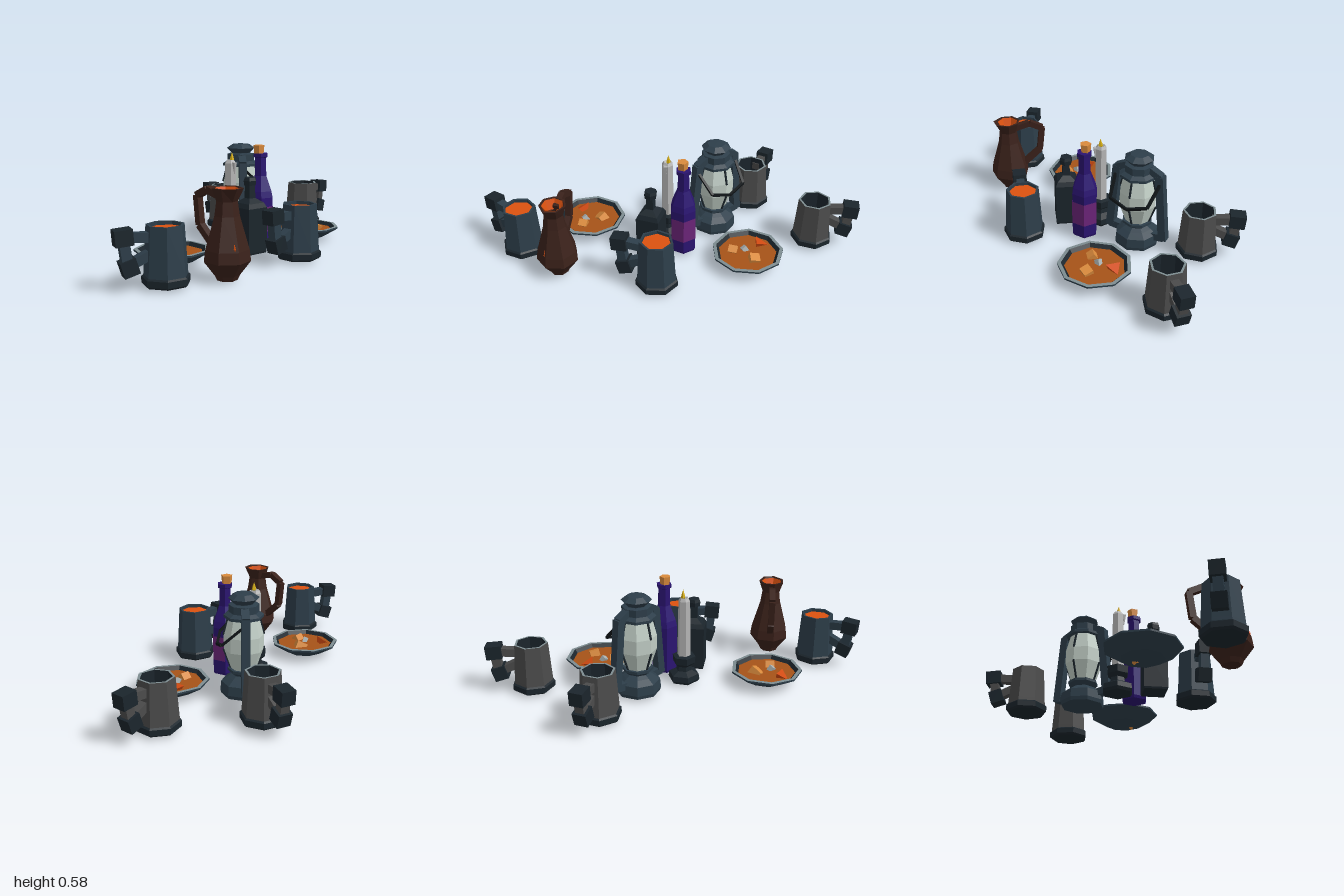
import * as THREE from 'three';

const mat = (color, side = THREE.FrontSide) =>
  new THREE.MeshStandardMaterial({ color, flatShading: true, side });
const M = {
  blue: mat(0x2d3e4a), dark: mat(0x1b252c), grey: mat(0x4b4b4b), rim: mat(0x7d8c90),
  ale: mat(0xdc5210), soup: mat(0xa65318), tan: mat(0xd98a3c), red: mat(0xd04a12),
  pale: mat(0xa9b0b0), brown: mat(0x3a211a), glass: mat(0xc0cdc5), wax: mat(0xb4b4b4),
  flame: mat(0xd8b012), purple: mat(0x2a1470), label: mat(0x6b2478), black: mat(0x0f1417),
  lip: mat(0xdc5210, THREE.DoubleSide), labelThin: mat(0x6b2478, THREE.DoubleSide),
};

function add(parent, name, geometry, material, x = 0, y = 0, z = 0) {
  const mesh = new THREE.Mesh(geometry, material);
  mesh.name = name;
  mesh.position.set(x, y, z);
  parent.add(mesh);
  return mesh;
}

function group(parent, name, x, z, turn = 0) {
  const g = new THREE.Group();
  g.name = name;
  g.position.set(x, 0, z);
  g.rotation.y = turn;
  parent.add(g);
  return g;
}

// Faceted turned shape from [radius, height] pairs, listed upward on the outside
const turned = (points, sides, start = 0, sweep = Math.PI * 2) =>
  new THREE.LatheGeometry(points.map(p => new THREE.Vector2(...p)), sides, start, sweep);

const disc = (r, sides) => new THREE.CircleGeometry(r, sides, Math.PI / 2).rotateX(-Math.PI / 2);

// Square bar between two points
function bar(parent, name, a, b, width, material) {
  const p = new THREE.Vector3(...a), q = new THREE.Vector3(...b);
  const m = add(parent, name, new THREE.BoxGeometry(width, p.distanceTo(q), width), material);
  m.position.copy(p).add(q).multiplyScalar(0.5);
  m.quaternion.setFromUnitVectors(new THREE.Vector3(0, 1, 0), q.sub(p).normalize());
  return m;
}

// Angle that turns local +x toward (dx, dz)
const facing = (dx, dz) => Math.atan2(-dz, dx);

function mug(parent, name, x, z, dx, dz, height, bodyMat, full) {
  const g = group(parent, name, x, z, facing(dx, dz));
  const start = Math.PI / 2 + Math.PI / 7, top = height;
  add(g, 'mugBody', turned([[0.108, 0.05], [0.106, 0.08], [0.092, top]], 7, start), bodyMat);
  add(g, 'mugBase', turned([[0, 0.015], [0.105, 0.015], [0.117, 0.025], [0.117, 0.055], [0.104, 0.065]], 7, start), M.dark);
  add(g, 'mugRim', turned([[0.092, top], [0.08, top]], 7, start), full ? M.blue : M.rim);
  add(g, 'mugInside', turned([[0.08, top], [0.085, 0.06], [0, 0.06]], 7, start), full ? M.blue : M.dark);
  if (full) {
    const ale = add(g, 'ale', disc(0.082, 7), M.ale, 0, top - 0.018, 0);
    ale.rotation.y = start - Math.PI;
  }
  // Handle: two blocks joined by bars
  const hi = top - 0.045;
  bar(g, 'handleTopBar', [0.07, hi - 0.01, 0], [0.2, hi, 0], 0.045, bodyMat);
  bar(g, 'handleGrip', [0.2, hi, 0], [0.18, 0.11, 0], 0.048, bodyMat);
  bar(g, 'handleLowerBar', [0.08, 0.165, 0], [0.18, 0.12, 0], 0.045, bodyMat);
  const upper = add(g, 'handleUpperBlock', new THREE.BoxGeometry(0.085, 0.075, 0.075), M.dark, 0.2, hi, 0);
  upper.rotation.z = -0.08;
  const lower = add(g, 'handleLowerBlock', new THREE.BoxGeometry(0.075, 0.075, 0.075), M.dark, 0.175, 0.115, 0);
  lower.rotation.z = -0.3;
}

function plate(parent, name, x, z, chunks) {
  const g = group(parent, name, x, z, 0.1);
  add(g, 'plateBody', turned([[0, 0.02], [0.11, 0.02], [0.2, 0.075], [0.2, 0.085]], 9), M.blue);
  add(g, 'plateRim', turned([[0.2, 0.085], [0.18, 0.086]], 9), M.rim);
  add(g, 'plateInside', turned([[0.18, 0.086], [0.15, 0.05]], 9), M.dark);
  add(g, 'soup', disc(0.168, 9), M.soup, 0, 0.066, 0).rotation.y = Math.PI;
  g.rotation.y = 0.1;
  // Chunks of food in the soup
  chunks.forEach(([cx, cz, size, material, sink], i) => {
    const geo = material === M.red ? new THREE.TetrahedronGeometry(size * 0.85)
      : new THREE.BoxGeometry(size, size * 0.85, size * 0.8);
    const chunk = add(parent, 'foodChunk', geo, material, cx, 0.07 - sink, cz);
    chunk.rotation.set(0.4 + i * 0.5, 0.5 + i * 0.7, 0.3 + i * 0.2);
  });
}

function lantern(parent) {
  const g = group(parent, 'lantern', -0.09, -0.287, facing(0.05, 0.155));
  add(g, 'lanternBase', turned([[0, 0.02], [0.12, 0.02], [0.125, 0.04], [0.12, 0.09], [0.085, 0.115],
    [0.06, 0.13], [0.085, 0.15], [0.085, 0.165], [0, 0.165]], 8), M.blue);
  add(g, 'glass', turned([[0.068, 0.16], [0.105, 0.27], [0.105, 0.35], [0.078, 0.455]], 8), M.glass);
  for (let i = 0; i < 8; i++) {
    if (i % 2) continue;
    const a = i * Math.PI / 4, at = (r, y) => [Math.sin(a) * r, y, Math.cos(a) * r];
    bar(g, 'glassGuard', at(0.107, 0.35), at(0.08, 0.455), 0.009, M.dark);
    bar(g, 'glassGuard', at(0.07, 0.165), at(0.107, 0.27), 0.009, M.dark);
  }
  add(g, 'lanternCollar', turned([[0, 0.445], [0.105, 0.445], [0.105, 0.46], [0.08, 0.475], [0.08, 0.515], [0.055, 0.52],
    [0.055, 0.53], [0, 0.53]], 8), M.blue);
  add(g, 'lanternCap', turned([[0, 0.515], [0.055, 0.522], [0.082, 0.55], [0.05, 0.572], [0, 0.575]], 8), M.blue);
  for (const s of [-1, 1]) {
    bar(g, 'sideTubeFoot', [s * 0.08, 0.08, 0], [s * 0.165, 0.09, 0], 0.042, M.blue);
    bar(g, 'sideTube', [s * 0.162, 0.075, 0], [s * 0.125, 0.47, 0], 0.045, M.blue);
    bar(g, 'sideTubeTop', [s * 0.13, 0.46, 0], [s * 0.06, 0.495, 0], 0.042, M.blue);
  }
  // Carrying wire swung down to one side
  const pts = [[-0.135, 0.44, 0], [-0.11, 0.33, -0.12], [0, 0.3, -0.14], [0.11, 0.33, -0.12], [0.135, 0.44, 0]];
  for (let i = 0; i < 4; i++) bar(g, 'carryingWire', pts[i], pts[i + 1], 0.014, M.black);
}

function candle(parent) {
  const g = group(parent, 'candlestick', -0.085, 0, 0.3);
  add(g, 'candleHolder', turned([[0, 0.015], [0.08, 0.015], [0.09, 0.03], [0.085, 0.06], [0.045, 0.08], [0.04, 0.105],
    [0.062, 0.125], [0.066, 0.165], [0.04, 0.17], [0, 0.165]], 6), M.dark);
  add(g, 'candleStick', turned([[0.038, 0.16], [0.036, 0.3], [0.033, 0.49], [0.022, 0.508], [0, 0.485]], 6), M.wax);
  add(g, 'waxDrip', new THREE.ConeGeometry(0.014, 0.07, 4).rotateX(Math.PI), M.wax, 0.02, 0.46, 0.027);
  add(g, 'flame', turned([[0, 0.488], [0.013, 0.508], [0.009, 0.525], [0, 0.552]], 5), M.flame, 0.008, 0, 0);
}

function wineBottle(parent) {
  const g = group(parent, 'wineBottle', 0.078, -0.04, 0.25);
  add(g, 'wineBottleGlass', turned([[0, 0.025], [0.07, 0.025], [0.076, 0.04], [0.076, 0.3], [0.068, 0.335], [0.036, 0.42],
    [0.034, 0.52], [0.043, 0.525], [0.043, 0.545], [0, 0.545]], 6), M.purple);
  add(g, 'wineLabel', turned([[0.078, 0.11], [0.078, 0.25]], 3, 0, Math.PI), M.labelThin);
  add(g, 'cork', new THREE.CylinderGeometry(0.032, 0.026, 0.06, 5), M.tan, -0.01, 0.56, 0);
}

function squareBottle(parent) {
  const g = group(parent, 'squareBottle', 0.055, 0.14, 0.15);
  add(g, 'squareBottleBody', turned([[0, 0.02], [0.088, 0.02], [0.092, 0.03], [0.092, 0.27], [0.075, 0.295],
    [0.03, 0.32], [0.026, 0.395], [0, 0.4]], 4), M.dark);
  add(g, 'stopper', turned([[0, 0.39], [0.035, 0.39], [0.038, 0.415], [0.032, 0.432], [0, 0.432]], 6), M.dark);
}

function jug(parent) {
  const g = group(parent, 'jug', 0.055, 0.67, facing(-0.84, -0.54));
  const shell = turned([[0, 0.01], [0.05, 0.01], [0.062, 0.035], [0.115, 0.105], [0.108, 0.16], [0.062, 0.32], [0.052, 0.39],
    [0.074, 0.453], [0.063, 0.453], [0.042, 0.39], [0.05, 0.31], [0, 0.3]], 7);
  // Raise the lip into a spout opposite the handle
  const p = shell.attributes.position;
  for (let i = 0; i < p.count; i++)
    if (p.getY(i) > 0.44 && p.getX(i) < -0.045) p.setX(i, p.getX(i) * 1.18);
  add(g, 'jugBody', shell, M.brown);
  add(g, 'jugInnerLip', turned([[0.041, 0.395], [0.06, 0.45]], 7), M.lip);
  const pts = [[0.035, 0.405], [0.13, 0.432], [0.205, 0.395], [0.188, 0.25], [0.09, 0.165]];
  for (let i = 0; i < 4; i++)
    bar(g, 'jugHandle', [...pts[i], 0], [...pts[i + 1], 0], 0.034, M.brown);
  // Bright drip on the belly
  const drip = add(parent, 'jugDrip', new THREE.OctahedronGeometry(1), M.ale, 0.107, 0.175, 0.741);
  drip.scale.set(0.013, 0.045, 0.015);
  drip.rotation.set(-0.15, 0.6, 0.1);
}

export function createModel() {
  const root = new THREE.Group();
  root.name = 'tavernTableware';
  mug(root, 'frontMug', -0.195, 0.83, -0.165, 0.115, 0.3, M.blue, true);
  mug(root, 'sideMug', 0.33, 0.19, -0.1, 0.155, 0.308, M.blue, true);
  mug(root, 'backMug', 0.215, -0.78, 0.08, -0.17, 0.285, M.grey, false);
  mug(root, 'leftBackMug', -0.26, -0.585, -0.12, -0.135, 0.28, M.grey, false);
  plate(root, 'backPlate', 0.29, -0.35, [[0.24, -0.44, 0.06, M.red, 0], [0.355, -0.36, 0.065, M.tan, 0.01],
    [0.26, -0.345, 0.035, M.pale, 0], [0.245, -0.28, 0.05, M.tan, 0]]);
  plate(root, 'frontPlate', -0.3, 0.41, [[-0.285, 0.35, 0.065, M.tan, 0.01], [-0.4, 0.44, 0.06, M.red, 0],
    [-0.3, 0.445, 0.035, M.pale, 0], [-0.25, 0.47, 0.05, M.tan, 0]]);
  // Chunk tips showing under the plates
  for (const [x, z] of [[0.36, -0.36], [-0.3, 0.35]])
    add(root, 'chunkTip', new THREE.ConeGeometry(0.03, 0.03, 4).rotateX(Math.PI), M.tan, x, 0.02, z);
  lantern(root);
  candle(root);
  wineBottle(root);
  squareBottle(root);
  jug(root);
  return root;
}
